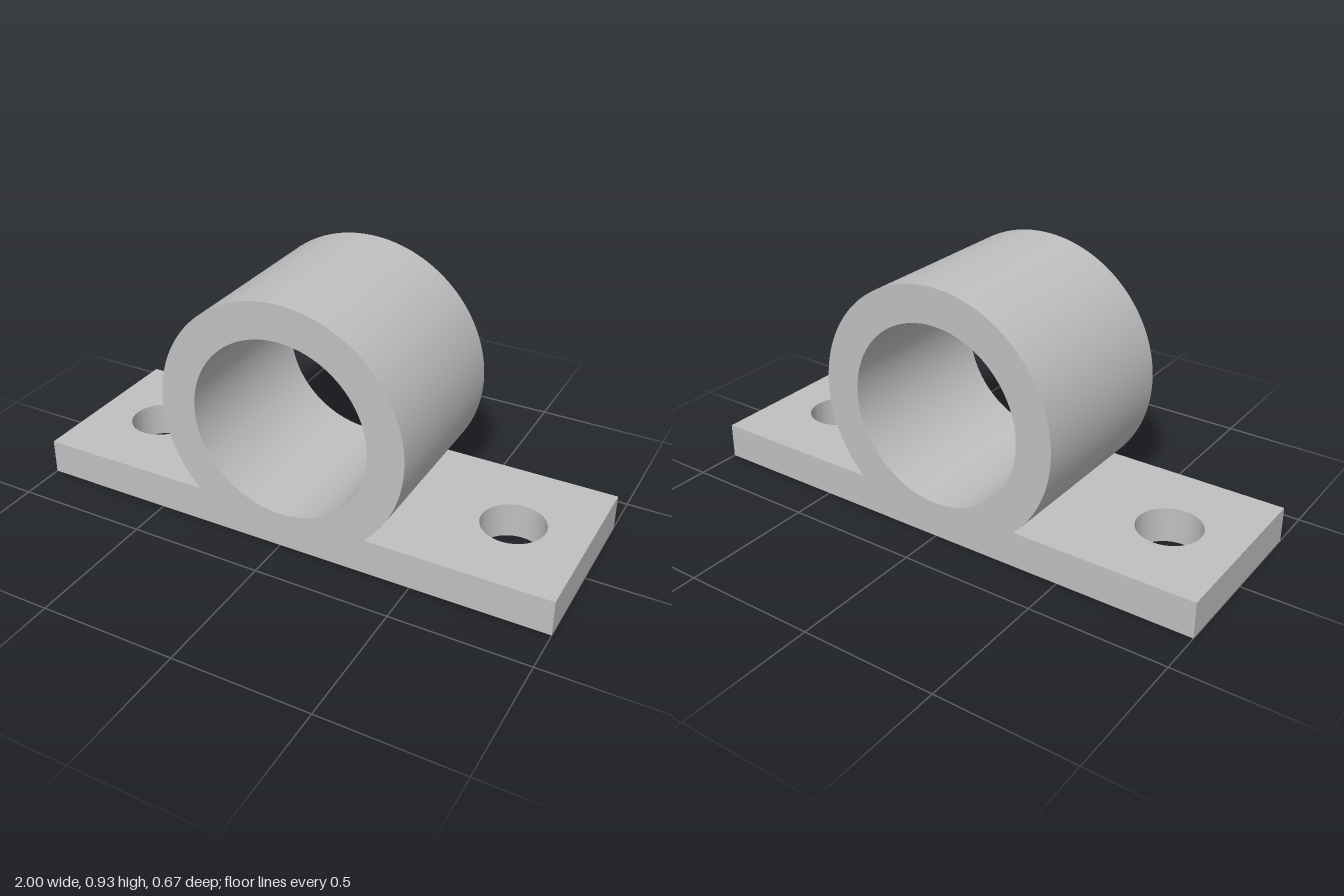
import * as THREE from 'three';
import { toCreasedNormals } from 'three/addons/utils/BufferGeometryUtils.js';

const DEPTH = 0.6667, THICK = 0.1333;
const OUTER = 0.4667, INNER = 0.3333, CENTER_Y = 0.4667;
const HOLE_X = 0.7333, HOLE_R = 0.1165;

function circleHole(x, y, r) {
  return new THREE.Path().absarc(x, y, r, 0, Math.PI * 2, true);
}

// Extrude a flat outline, keeping curved walls smooth and edges sharp
function extrude(shape, depth) {
  const geometry = new THREE.ExtrudeGeometry(shape, { depth, bevelEnabled: false, curveSegments: 48 });
  return toCreasedNormals(geometry, 0.5);
}

export function createModel() {
  const group = new THREE.Group();
  group.name = 'pipeBracket';
  const metal = new THREE.MeshStandardMaterial({ color: 0xc0c0c0 });
  metal.name = 'plain grey';

  const add = (name, geometry) => {
    const mesh = new THREE.Mesh(geometry, metal);
    mesh.name = name;
    group.add(mesh);
  };

  // Base plate with two screw holes
  const plate = new THREE.Shape();
  const d = DEPTH / 2;
  plate.moveTo(-1, -d).lineTo(1, -d).lineTo(1, d).lineTo(-1, d).closePath();
  for (const side of [-1, 1]) plate.holes.push(circleHole(side * HOLE_X, 0, HOLE_R));
  add('basePlate', extrude(plate, THICK).rotateX(-Math.PI / 2));

  // Pipe ring, its flat underside sunk slightly into the plate
  const sunkY = THICK - 0.03;
  const start = Math.asin((sunkY - CENTER_Y) / OUTER);
  const ring = new THREE.Shape();
  ring.absarc(0, CENTER_Y, OUTER, start, Math.PI - start, false);
  ring.closePath();
  ring.holes.push(circleHole(0, CENTER_Y, INNER));
  add('pipeRing', extrude(ring, DEPTH).translate(0, 0, -d));

  return group;
}
